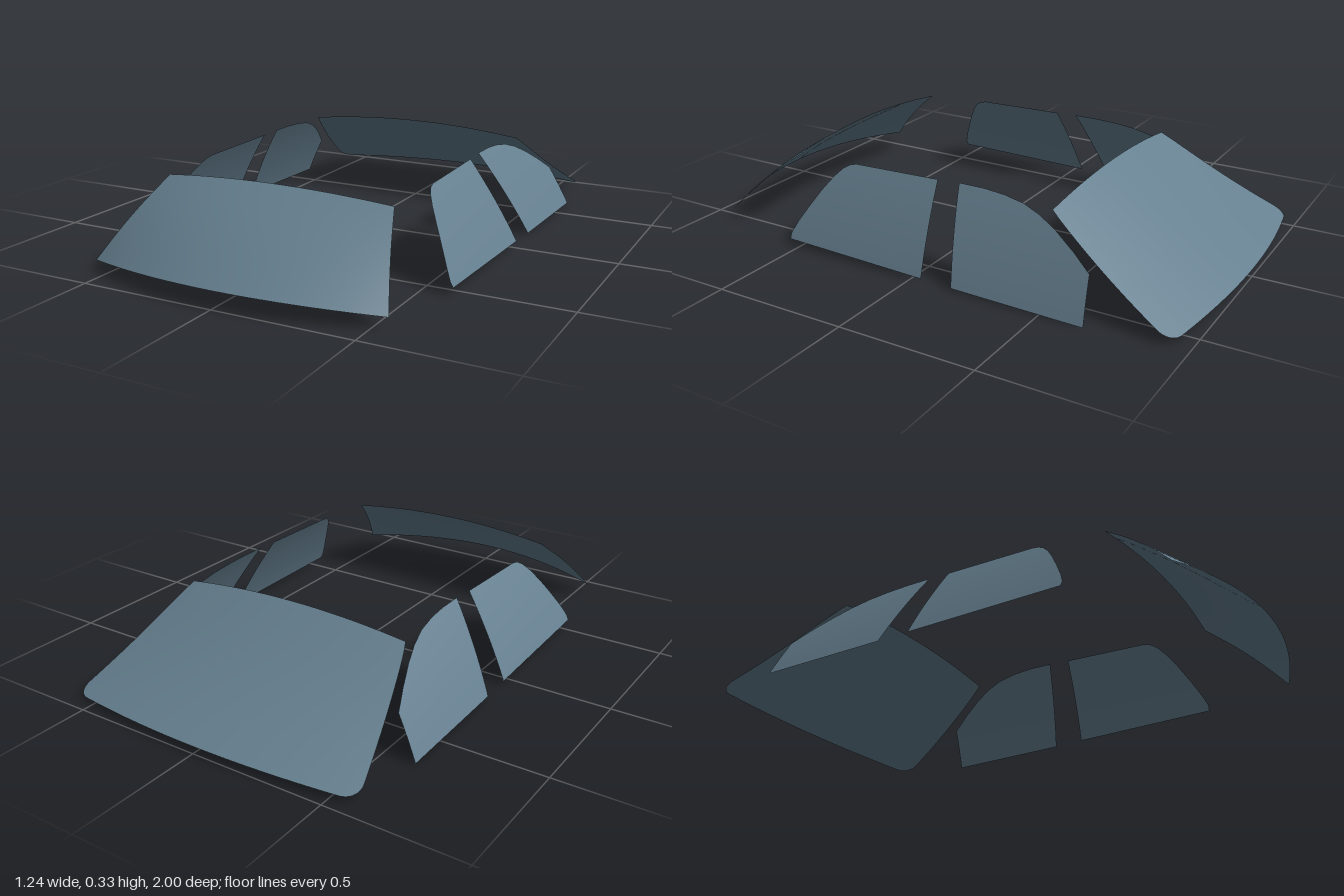
import * as THREE from 'three';

const glass = new THREE.MeshStandardMaterial({ color: 0x668090, side: THREE.DoubleSide });
const lerp = THREE.MathUtils.lerp;

// Smooth pane from a rule: u runs left to right and v top to bottom, seen from outside
function pane(name, cols, rows, rule) {
  const position = [], index = [];
  for (let j = 0; j <= rows; j++) {
    for (let i = 0; i <= cols; i++) position.push(...rule(i / cols, j / rows));
  }
  for (let j = 0; j < rows; j++) {
    for (let i = 0; i < cols; i++) {
      const a = j * (cols + 1) + i, c = a + cols + 1;
      index.push(a, c, a + 1, a + 1, c, c + 1);
    }
  }
  const geometry = new THREE.BufferGeometry();
  geometry.setAttribute('position', new THREE.Float32BufferAttribute(position, 3));
  geometry.setIndex(index);
  geometry.computeVertexNormals();
  const mesh = new THREE.Mesh(geometry, glass);
  mesh.name = name;
  return mesh;
}

// Point on a polyline, t from 0 to 1 over its segments
function along(points, t) {
  const s = t * (points.length - 1);
  const i = Math.min(Math.floor(s), points.length - 2);
  return [0, 1].map((k) => lerp(points[i][k], points[i + 1][k], s - i));
}

// Side window lofted between two edges given as [z, y] from bottom to top;
// the glass leans inwards as it rises
function sideWindow(name, side, frontEdge, rearEdge, rows) {
  return pane(name, 12, rows, (u, v) => {
    const t = side > 0 ? u : 1 - u;
    const f = along(frontEdge, 1 - v), r = along(rearEdge, 1 - v);
    const z = lerp(f[0], r[0], t), y = lerp(f[1], r[1], t);
    return [side * (0.62 - 0.47 * y - 0.35 * y * y), y, z];
  });
}

export function createModel() {
  const model = new THREE.Group();
  model.name = 'carWindows';

  // Windscreen, bowed forwards along its lower edge
  model.add(pane('windscreen', 32, 14, (u, v) => {
    const s = 2 * u - 1, bulge = 0.008 * Math.sin(Math.PI * v);
    return [
      s * lerp(0.435, 0.55, v),
      lerp(0.315, 0.065, v) - 0.025 * s * s + bulge,
      lerp(0.633, 1, v) - lerp(0.02, 0.115, v) * s * s + bulge,
    ];
  }));

  // Rear window, with rounded lower corners
  model.add(pane('rearWindow', 40, 30, (u, t) => {
    const v = 1 - (1 - t) ** 1.6;
    const corner = Math.max(0, (v - 0.89) / 0.11);
    const half = lerp(0.455, 0.592, v ** 0.85) - 0.06 * (1 - Math.sqrt(1 - corner * corner));
    const x = (1 - 2 * u) * half;
    return [
      x,
      lerp(0.33, 0.03, v) - lerp(0.145, 0.045, v) * x * x - 0.012 * Math.sin(Math.PI * v),
      -0.46 - v * (0.54 - 0.17 * x * x),
    ];
  }));

  // Door windows on both sides
  const frontDoorFront = [[0.54, 0.025], [0.542, 0.045], [0.525, 0.085], [0.495, 0.14], [0.46, 0.2],
    [0.425, 0.25], [0.395, 0.282], [0.37, 0.296], [0.345, 0.302]];
  const frontDoorRear = [[-0.043, 0.013], [-0.005, 0.31]];
  const rearDoorFront = [[-0.165, 0.009], [-0.09, 0.314]];
  const rearDoorRear = [[-0.66, 0.002], [-0.65, 0.075], [-0.64, 0.15], [-0.57, 0.197], [-0.49, 0.243],
    [-0.42, 0.275], [-0.35, 0.297], [-0.27, 0.309], [-0.19, 0.314]];
  for (const [label, side] of [['left', 1], ['right', -1]]) {
    model.add(sideWindow(label + 'FrontDoorWindow', side, frontDoorFront, frontDoorRear, 16));
    model.add(sideWindow(label + 'RearDoorWindow', side, rearDoorFront, rearDoorRear, 16));
  }
  return model;
}
